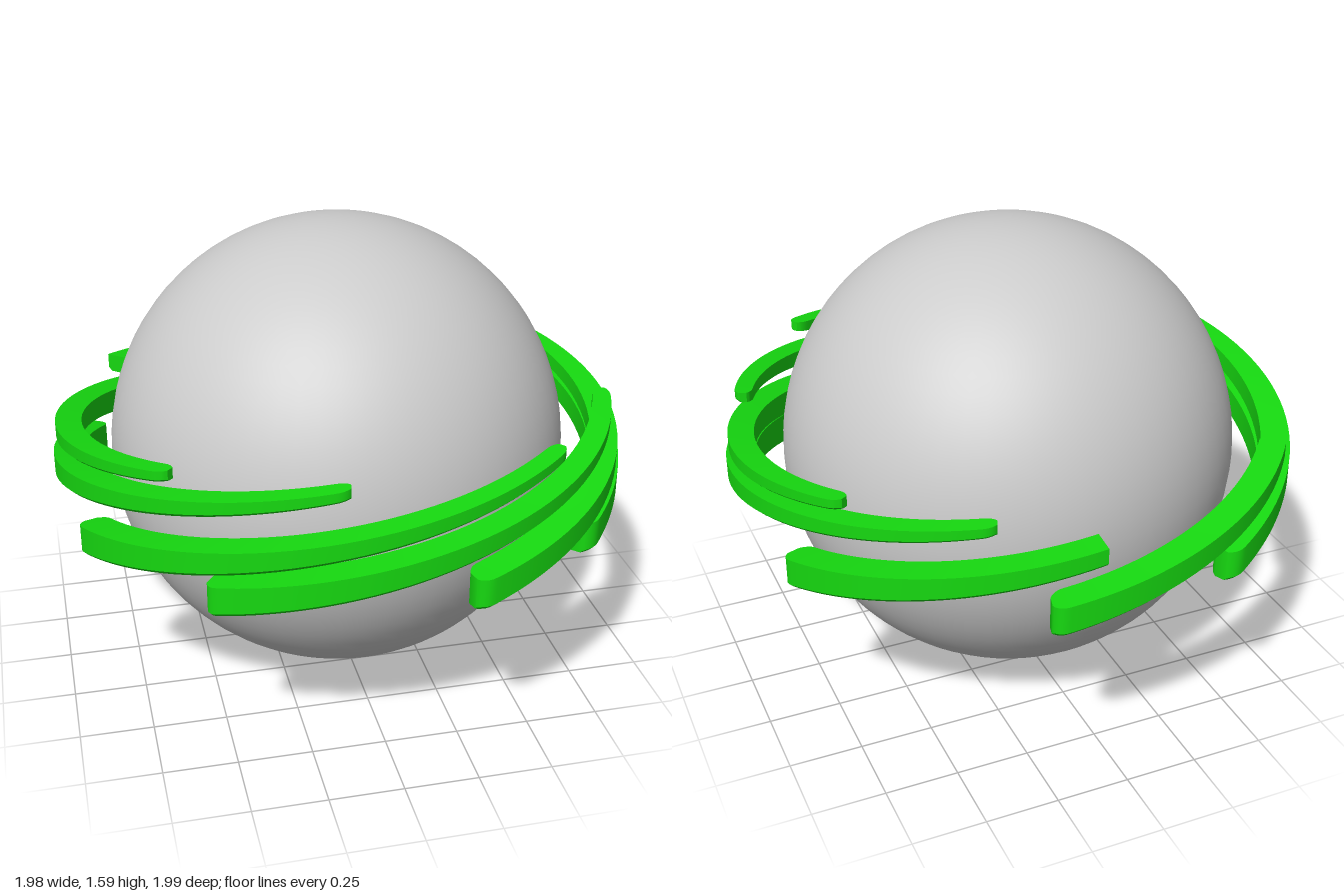
import * as THREE from 'three';
import { toCreasedNormals } from 'three/addons/utils/BufferGeometryUtils.js';

const STEPS = 56;
const SWEEP = 110; // degrees covered by a full-length blade

// One rising, tapering blade that hugs the ball. Angles run from the front (+z) towards +x.
function bladeGeometry(startDeg, endY, length, tipRounded) {
  const positions = [];
  const rings = [];
  const capLength = 0.045;

  for (let i = 0; i <= STEPS; i++) {
    const t = length * (1 - Math.cos((Math.PI * i) / STEPS)) / 2;
    const a = THREE.MathUtils.degToRad(startDeg + SWEEP * t);
    const radius = 0.945 - 0.025 * t * t;
    const y = 0.66 + (endY - 0.66) * (1.2 * t - 0.2 * t * t);
    const arc = THREE.MathUtils.degToRad(SWEEP) * 0.94;

    // Round the ends in plan
    const fromStart = Math.min(1, (t * arc) / capLength);
    const fromEnd = tipRounded ? Math.min(1, ((length - t) * arc) / capLength) : 1;
    const round = (d) => Math.sqrt(1 - 0.85 * (1 - d) ** 2);
    const w = (0.0525 - 0.0225 * t * t) * round(fromStart) * round(fromEnd);
    const h = 0.055 - 0.037 * t;
    const c = Math.min(0.014, h * 0.4, w * 0.4);

    // Box section with its lower outer edge bevelled
    const section = [[w - c, -h], [-w, -h], [-w, h], [w, h], [w, -h + c]];
    rings.push(section.map(([dr, dy]) => [
      (radius + dr) * Math.sin(a), y + dy, (radius + dr) * Math.cos(a),
    ]));
  }

  const tri = (a, b, c) => positions.push(...a, ...b, ...c);
  const n = rings[0].length;
  for (let i = 0; i < STEPS; i++) {
    for (let j = 0; j < n; j++) {
      const k = (j + 1) % n;
      tri(rings[i][j], rings[i][k], rings[i + 1][j]);
      tri(rings[i][k], rings[i + 1][k], rings[i + 1][j]);
    }
  }
  const first = rings[0], last = rings[STEPS];
  for (let j = 1; j < n - 1; j++) {
    tri(first[0], first[j + 1], first[j]);
    tri(last[0], last[j], last[j + 1]);
  }

  const geometry = new THREE.BufferGeometry();
  geometry.setAttribute('position', new THREE.Float32BufferAttribute(positions, 3));
  return toCreasedNormals(geometry, THREE.MathUtils.degToRad(32));
}

export function createModel() {
  const model = new THREE.Group();
  model.name = 'ringedBall';

  // Central ball
  const ball = new THREE.Mesh(
    new THREE.SphereGeometry(0.795, 64, 40),
    new THREE.MeshStandardMaterial({ color: 0xcccccc }),
  );
  ball.name = 'ball';
  ball.position.y = 0.795;
  model.add(ball);

  // Swirl of blades: start angle, height of the upper end, fraction of full length
  const green = new THREE.MeshStandardMaterial({ color: 0x16d810 });
  const ring = new THREE.Group();
  ring.name = 'bladeRing';
  const blades = [
    [-37, 0.99, 1], [14, 0.97, 1], [45, 0.97, 1], [110, 0.99, 0.59],
    [165, 1.01, 0.59], [-156, 1.03, 1], [-120, 1.05, 1], [-72, 1.02, 1],
  ];
  blades.forEach(([start, endY, length], i) => {
    const blade = new THREE.Mesh(bladeGeometry(start, endY, length, length === 1), green);
    blade.name = `${length === 1 ? 'longBlade' : 'shortBlade'}${i + 1}`;
    ring.add(blade);
  });
  model.add(ring);

  return model;
}
